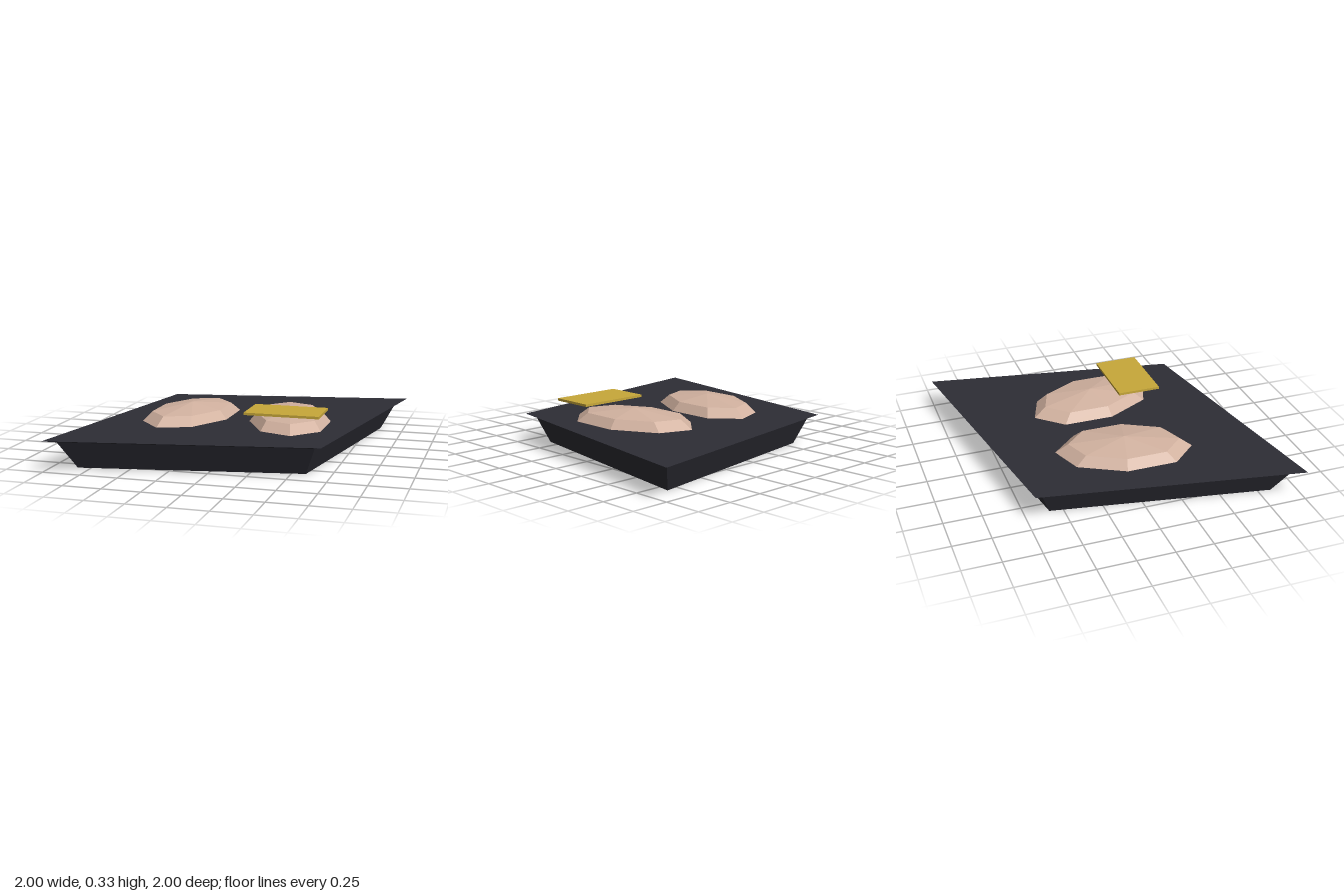
import * as THREE from 'three';

const trayMat = new THREE.MeshStandardMaterial({ name: 'charcoal', color: 0x2d2d35 });
const moundMat = new THREE.MeshStandardMaterial({ name: 'pale beige', color: 0xd2b2a0 });
const goldMat = new THREE.MeshStandardMaterial({ name: 'gold', color: 0xc8a83a });

// Faceted solid from one outline repeated at [scale, y] levels, bottom to top, closed at both ends.
// The outline is [x, z] pairs running anticlockwise seen from above.
function stackOutline(outline, levels) {
  const pos = [];
  const n = outline.length;
  const at = ([s, y], i) => [outline[i % n][0] * s, y, outline[i % n][1] * s];
  const tri = (a, b, c) => pos.push(...a, ...b, ...c);
  const first = levels[0], last = levels[levels.length - 1];
  for (let i = 0; i < n; i++) {
    for (let k = 0; k < levels.length - 1; k++) {
      const a = at(levels[k], i), b = at(levels[k], i + 1);
      const c = at(levels[k + 1], i + 1), d = at(levels[k + 1], i);
      tri(a, b, c);
      tri(a, c, d);
    }
    tri([0, first[1], 0], at(first, i + 1), at(first, i));
    tri([0, last[1], 0], at(last, i), at(last, i + 1));
  }
  const geo = new THREE.BufferGeometry();
  geo.setAttribute('position', new THREE.Float32BufferAttribute(pos, 3));
  geo.computeVertexNormals();
  return geo;
}

function addMesh(group, name, geo, mat, x = 0, y = 0, z = 0) {
  const mesh = new THREE.Mesh(geo, mat);
  mesh.name = name;
  mesh.position.set(x, y, z);
  group.add(mesh);
}

export function createModel() {
  const group = new THREE.Group();
  group.name = 'trayWithMounds';

  // Skewed tray: sloping walls and a thin flared lip
  const trayOutline = [[-1, 1], [0.705, 0.705], [1, -1], [-0.705, -0.705]];
  addMesh(group, 'tray', stackOutline(trayOutline, [[0.835, 0], [0.93, 0.18], [1, 0.198]]), trayMat);

  // Two mirrored low domes, each a leaning eight-sided oval
  const half = [[0.105, -0.438], [-0.11, -0.36], [-0.265, -0.07], [-0.265, 0.265]];
  const oval = [...half, ...half.map(([x, z]) => [-x, -z])];
  const mirrored = oval.map(([x, z]) => [-x, z]).reverse();
  const dome = [[1, 0.19], [1, 0.198], [0.81, 0.257], [0.001, 0.295]];
  addMesh(group, 'rightMound', stackOutline(oval, dome), moundMat, -0.345);
  addMesh(group, 'leftMound', stackOutline(mirrored, dome), moundMat, 0.345);

  // Thin plate hovering over the left mound
  addMesh(group, 'goldPlate', new THREE.BoxGeometry(0.488, 0.016, 0.294), goldMat, 0.388, 0.325, 0.292);

  return group;
}
